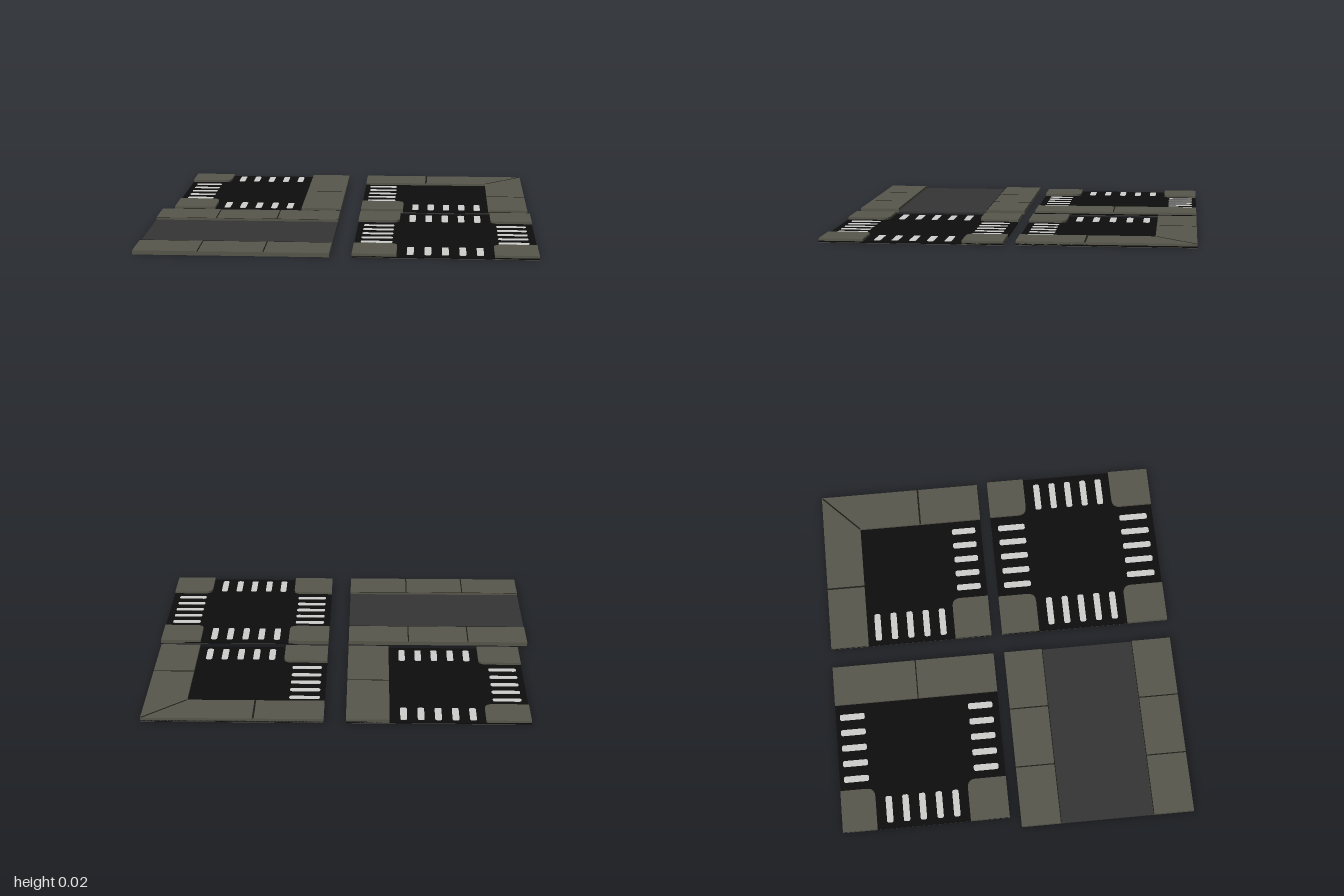
import * as THREE from 'three';

const BASE = 0.002, ROAD = 0.009, TOP = 0.021;

function material(name, color) {
  const m = new THREE.MeshStandardMaterial({ color });
  m.name = name;
  return m;
}

export function createModel() {
  const concrete = material('concrete', 0x58574c);
  const asphalt = material('darkAsphalt', 0x0d0d0d);
  const greyAsphalt = material('greyAsphalt', 0x353535);
  const paint = material('whitePaint', 0xcfcfcd);
  const groove = material('grooveShadow', 0x1c1c18);

  const model = new THREE.Group();
  model.name = 'roadTiles';

  function tile(name) {
    const g = new THREE.Group();
    g.name = name;
    model.add(g);
    return g;
  }

  // Box between two corners on the ground plan, from y0 up to y1
  function slab(parent, name, mat, x0, x1, z0, z1, y0, y1) {
    const mesh = new THREE.Mesh(new THREE.BoxGeometry(x1 - x0, y1 - y0, z1 - z0), mat);
    mesh.position.set((x0 + x1) / 2, (y0 + y1) / 2, (z0 + z1) / 2);
    mesh.name = name;
    parent.add(mesh);
  }

  // Extruded rectangle; r holds the radius of each corner:
  // back left, back right, front right, front left on the plan
  function roundedSlab(parent, name, mat, x0, x1, z0, z1, y0, y1, r) {
    const s = new THREE.Shape();
    s.moveTo(x0 + r[0], -z0);
    s.lineTo(x1 - r[1], -z0);
    if (r[1]) s.quadraticCurveTo(x1, -z0, x1, -z0 - r[1]);
    s.lineTo(x1, -z1 + r[2]);
    if (r[2]) s.quadraticCurveTo(x1, -z1, x1 - r[2], -z1);
    s.lineTo(x0 + r[3], -z1);
    if (r[3]) s.quadraticCurveTo(x0, -z1, x0, -z1 + r[3]);
    s.lineTo(x0, -z0 - r[0]);
    if (r[0]) s.quadraticCurveTo(x0, -z0, x0 + r[0], -z0);
    const geo = new THREE.ExtrudeGeometry(s, { depth: y1 - y0, bevelEnabled: false, curveSegments: 5 });
    geo.rotateX(-Math.PI / 2);
    geo.translate(0, y0, 0);
    const mesh = new THREE.Mesh(geo, mat);
    mesh.name = name;
    parent.add(mesh);
  }

  // Concrete underside with the asphalt on it
  function ground(parent, x0, x1, z0, z1) {
    slab(parent, 'base', concrete, x0, x1, z0, z1, 0, BASE);
    slab(parent, 'road', asphalt, x0, x1, z0, z1, BASE, ROAD);
  }

  // Pavement corner; inner is the index of its rounded corner
  function corner(parent, x0, x1, z0, z1, inner) {
    const r = [0, 0, 0, 0];
    r[inner] = 0.045;
    roundedSlab(parent, 'cornerPavement', concrete, x0, x1, z0, z1, BASE, TOP, r);
  }

  function pavement(parent, x0, x1, z0, z1) {
    slab(parent, 'pavement', concrete, x0, x1, z0, z1, BASE, TOP);
  }

  // Thin dark joint from one plan point to another
  function joint(parent, xa, za, xb, zb, width = 0.006) {
    const length = Math.hypot(xb - xa, zb - za);
    const mesh = new THREE.Mesh(new THREE.BoxGeometry(length, 0.001, width), groove);
    mesh.position.set((xa + xb) / 2, TOP, (za + zb) / 2);
    mesh.rotation.y = -Math.atan2(zb - za, xb - xa);
    mesh.name = 'pavementJoint';
    parent.add(mesh);
  }

  // Five crossing bars spaced along x or z between first and last centre lines
  function crossing(parent, axis, first, last, from, to) {
    const g = new THREE.Group();
    g.name = 'crossing';
    parent.add(g);
    const h = 0.017, r = [0.012, 0.012, 0.012, 0.012];
    for (let i = 0; i < 5; i++) {
      const c = first + (last - first) * i / 4;
      const plan = axis === 'x' ? [c - h, c + h, from, to] : [from, to, c - h, c + h];
      roundedSlab(g, 'crossingBar', paint, ...plan, ROAD, ROAD + 0.002, r);
    }
  }

  // T junction, back right of the model
  const tee = tile('teeJunction');
  ground(tee, -0.943, -0.027, -0.922, -0.045);
  pavement(tee, -0.243, -0.027, -0.922, -0.045);
  corner(tee, -0.943, -0.72, -0.922, -0.74, 2);
  corner(tee, -0.943, -0.72, -0.25, -0.045, 1);
  joint(tee, -0.243, -0.473, -0.027, -0.473);
  crossing(tee, 'x', -0.658, -0.313, -0.9, -0.767);
  crossing(tee, 'x', -0.658, -0.313, -0.21, -0.078);
  crossing(tee, 'z', -0.671, -0.318, -0.912, -0.767);

  // Corner, back left of the model
  const bend = tile('cornerRoad');
  ground(bend, 0.083, 0.99, -0.922, -0.045);
  pavement(bend, 0.083, 0.99, -0.922, -0.718);
  pavement(bend, 0.778, 0.99, -0.718, -0.045);
  corner(bend, 0.083, 0.313, -0.243, -0.045, 1);
  joint(bend, 0.433, -0.922, 0.433, -0.718, 0.009);
  joint(bend, 0.778, -0.382, 0.99, -0.382, 0.009);
  joint(bend, 0.78, -0.72, 0.986, -0.918, 0.008);
  crossing(bend, 'z', -0.66, -0.305, 0.11, 0.265);
  crossing(bend, 'x', 0.38, 0.717, -0.21, -0.078);

  // Straight road, front right of the model
  const straight = tile('straightRoad');
  slab(straight, 'road', greyAsphalt, -1, -0.027, 0.222, 0.708, 0, ROAD);
  for (const [z0, z1] of [[0.013, 0.222], [0.708, 0.922]]) {
    slab(straight, 'pavement', concrete, -1, -0.027, z0, z1, 0, TOP);
    for (const x of [-0.678, -0.353]) joint(straight, x, z0, x, z1);
  }
  for (const z of [0.22, 0.71]) joint(straight, -1, z, -0.027, z, 0.004);

  // Crossroads, front left of the model
  const cross = tile('crossroads');
  ground(cross, 0.083, 1, 0.013, 0.922);
  corner(cross, 0.083, 0.302, 0.013, 0.217, 2);
  corner(cross, 0.783, 1, 0.013, 0.217, 3);
  corner(cross, 0.783, 1, 0.703, 0.922, 0);
  corner(cross, 0.083, 0.302, 0.703, 0.922, 1);
  crossing(cross, 'x', 0.369, 0.714, 0.05, 0.2);
  crossing(cross, 'x', 0.369, 0.714, 0.735, 0.89);
  crossing(cross, 'z', 0.289, 0.639, 0.115, 0.275);
  crossing(cross, 'z', 0.289, 0.639, 0.81, 0.965);

  return model;
}
